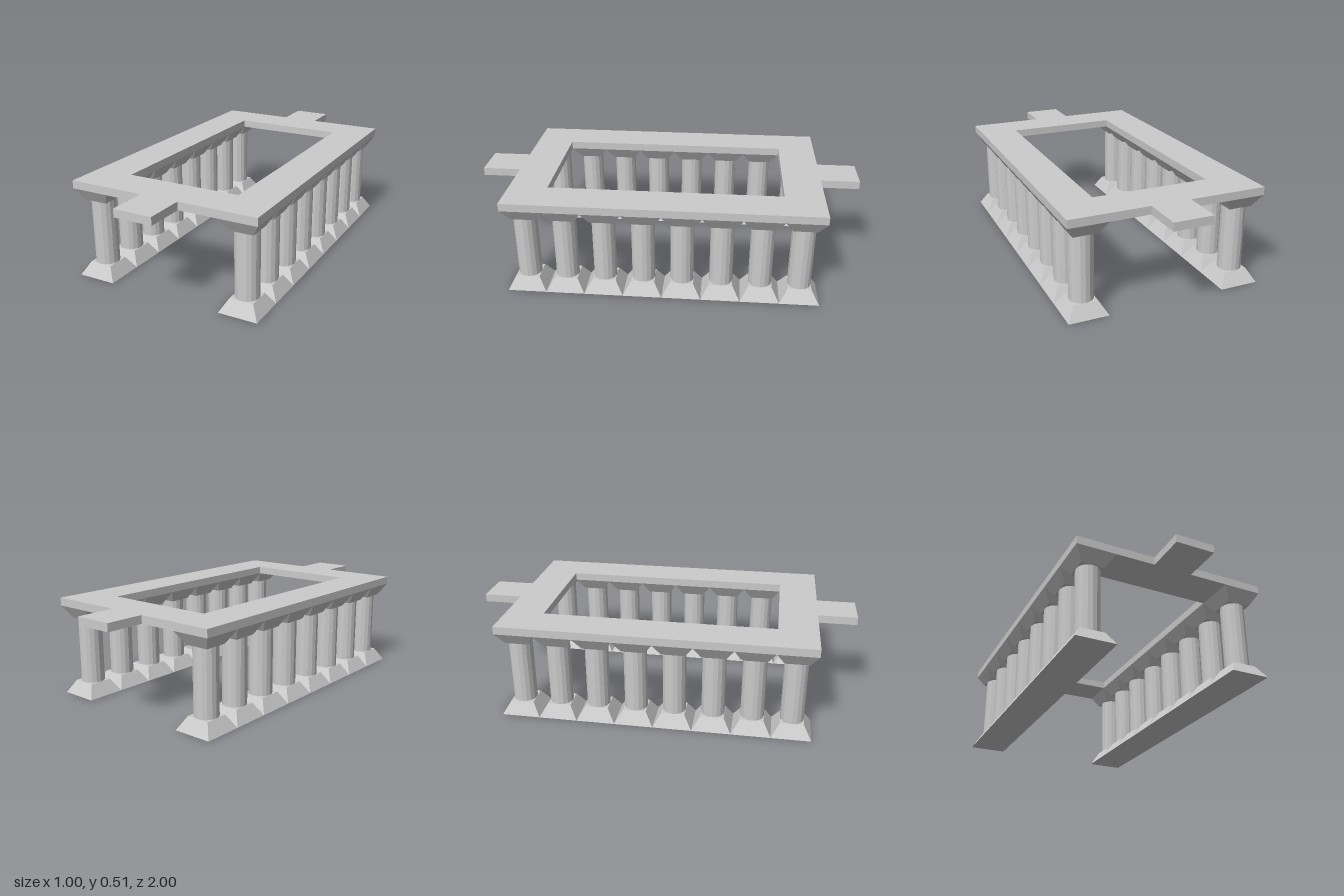
import * as THREE from 'three';

const FOOT_TOP = 0.067, SHAFT_TOP = 0.403, DECK_BOTTOM = 0.467, DECK_TOP = 0.508;
const WIDE = 0.1, NARROW = 0.06; // half widths of the flared blocks

const material = new THREE.MeshStandardMaterial({ color: 0xcccccc, flatShading: true });

// Square block tapering from one half width to another between two heights
function flaredBlock(bottomHalf, topHalf, y0, y1) {
  const geometry = new THREE.CylinderGeometry(
    topHalf * Math.SQRT2, bottomHalf * Math.SQRT2, y1 - y0, 4, 1, false, Math.PI / 4);
  return geometry.translate(0, (y0 + y1) / 2, 0);
}

// Rectangular ring with a tab at each end, lying flat
function deckGeometry() {
  const shape = new THREE.Shape([
    [-0.5, -0.8], [-0.1, -0.8], [-0.1, -1], [0.1, -1], [0.1, -0.8], [0.5, -0.8],
    [0.5, 0.8], [0.1, 0.8], [0.1, 1], [-0.1, 1], [-0.1, 0.8], [-0.5, 0.8],
  ].map(([x, y]) => new THREE.Vector2(x, y)));
  shape.holes.push(new THREE.Path([
    [-0.3, -0.6], [-0.3, 0.6], [0.3, 0.6], [0.3, -0.6],
  ].map(([x, y]) => new THREE.Vector2(x, y))));
  return new THREE.ExtrudeGeometry(shape, { depth: DECK_TOP - DECK_BOTTOM, bevelEnabled: false })
    .rotateX(-Math.PI / 2)
    .translate(0, DECK_BOTTOM, 0);
}

export function createModel() {
  const model = new THREE.Group();
  model.name = 'colonnade';

  const add = (parent, name, geometry) => {
    const mesh = new THREE.Mesh(geometry, material);
    mesh.name = name;
    parent.add(mesh);
  };

  add(model, 'deck', deckGeometry());

  // Parts shared by every column
  const foot = flaredBlock(WIDE, NARROW, 0, FOOT_TOP);
  const capital = flaredBlock(NARROW, WIDE, SHAFT_TOP, DECK_BOTTOM);
  const shaft = new THREE.CylinderGeometry(NARROW, NARROW, SHAFT_TOP - FOOT_TOP, 16)
    .translate(0, (FOOT_TOP + SHAFT_TOP) / 2, 0);

  // Two rows of eight columns
  for (const side of [-1, 1]) {
    const row = new THREE.Group();
    row.name = side > 0 ? 'leftColumnRow' : 'rightColumnRow';
    for (let i = 0; i < 8; i++) {
      const column = new THREE.Group();
      column.name = `column${i + 1}`;
      column.position.set(side * 0.4, 0, -0.7 + i * 0.2);
      add(column, 'foot', foot);
      add(column, 'shaft', shaft);
      add(column, 'capital', capital);
      row.add(column);
    }
    model.add(row);
  }
  return model;
}
